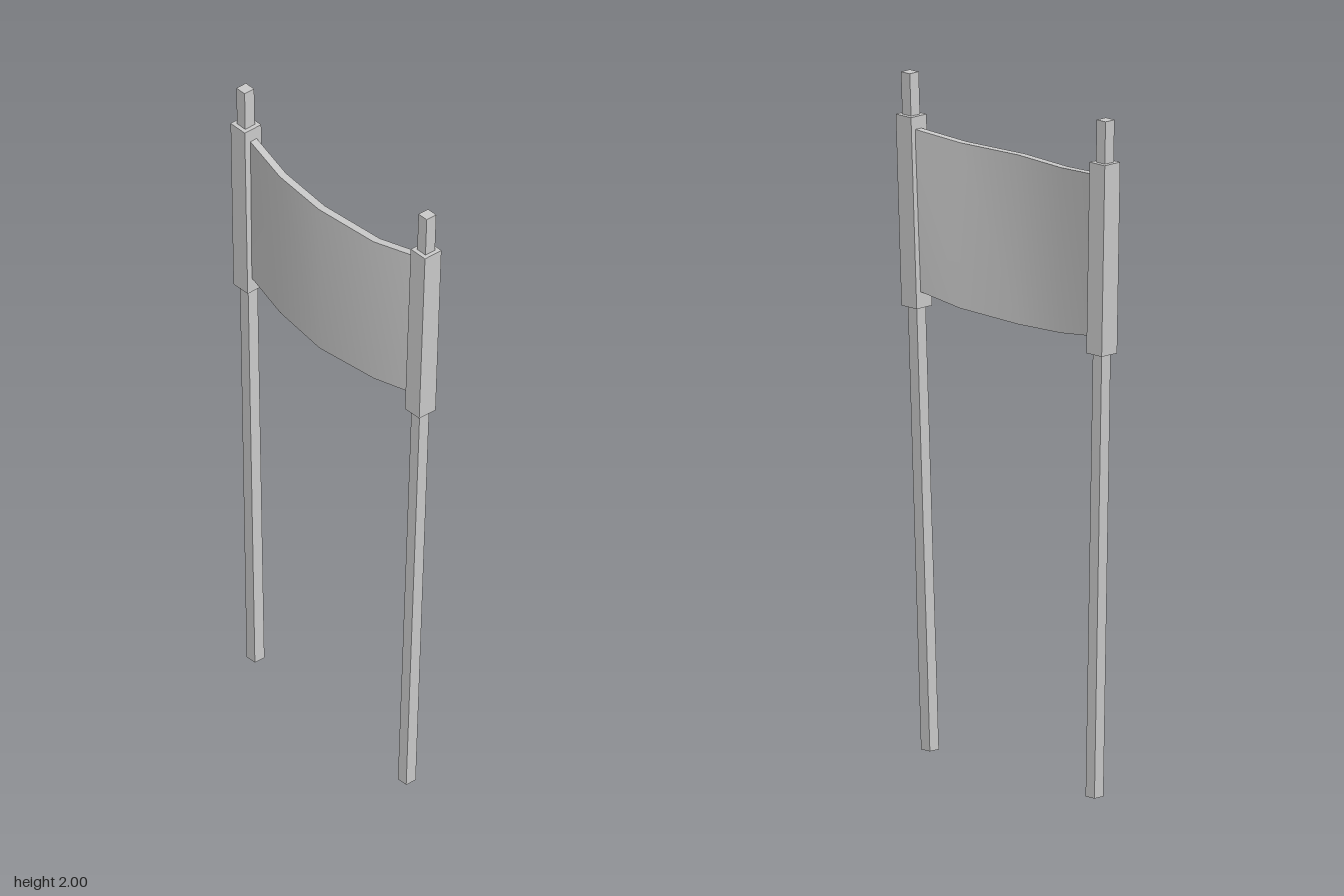
import * as THREE from 'three';
import { toCreasedNormals } from 'three/addons/utils/BufferGeometryUtils.js';

const material = new THREE.MeshStandardMaterial({ color: 0xcccccc });

// Closed solid through four-cornered sections, each counter-clockwise seen from its far end
function loft(name, sections) {
  const index = [];
  const quad = (a, b, c, d) => index.push(a, b, c, a, c, d);
  for (let s = 0; s < sections.length - 1; s++) {
    for (let i = 0; i < 4; i++) {
      const j = (i + 1) % 4, k = s * 4;
      quad(k + i, k + j, k + 4 + j, k + 4 + i);
    }
  }
  const e = (sections.length - 1) * 4;
  quad(3, 2, 1, 0);
  quad(e, e + 1, e + 2, e + 3);
  const geometry = new THREE.BufferGeometry();
  geometry.setAttribute('position', new THREE.Float32BufferAttribute(sections.flat(2), 3));
  geometry.setIndex(index);
  const mesh = new THREE.Mesh(toCreasedNormals(geometry, 0.6), material);
  mesh.name = name;
  return mesh;
}

// Horizontal square section around a point
const square = ({ x, y, z }, h) => [
  [x - h, y, z + h], [x + h, y, z + h], [x + h, y, z - h], [x - h, y, z - h],
];

export function createModel() {
  const model = new THREE.Group();

  // Leaning poles, each with a cloth sleeve that follows its slope
  const poles = [
    ['right', new THREE.Vector3(-0.354, 0, -0.022), new THREE.Vector3(-0.4, 2, -0.023)],
    ['left', new THREE.Vector3(0.37, 0, 0.033), new THREE.Vector3(0.395, 2, -0.023)],
  ];
  for (const [side, foot, tip] of poles) {
    const at = (y) => foot.clone().lerp(tip, y / 2);
    model.add(loft(side + 'Pole', [square(foot, 0.018), square(tip, 0.018)]));
    model.add(loft(side + 'Sleeve', [square(at(1.31), 0.031), square(at(1.875), 0.031)]));
  }

  // Banner sagging forward between the sleeves: x, bottom y, bottom z, top y, top z
  const t = 0.012;
  const stations = [
    [-0.375, 1.36, -0.024, 1.836, -0.026],
    [-0.2, 1.334, 0.006, 1.82, 0.008],
    [-0.01, 1.323, 0.022, 1.82, 0.026],
    [0.21, 1.333, 0.008, 1.82, 0.009],
    [0.375, 1.361, -0.008, 1.839, -0.024],
  ];
  model.add(loft('banner', stations.map(([x, y0, z0, y1, z1]) => [
    [x, y0, z0 + t], [x, y0, z0 - t], [x, y1, z1 - t], [x, y1, z1 + t],
  ])));

  return model;
}
